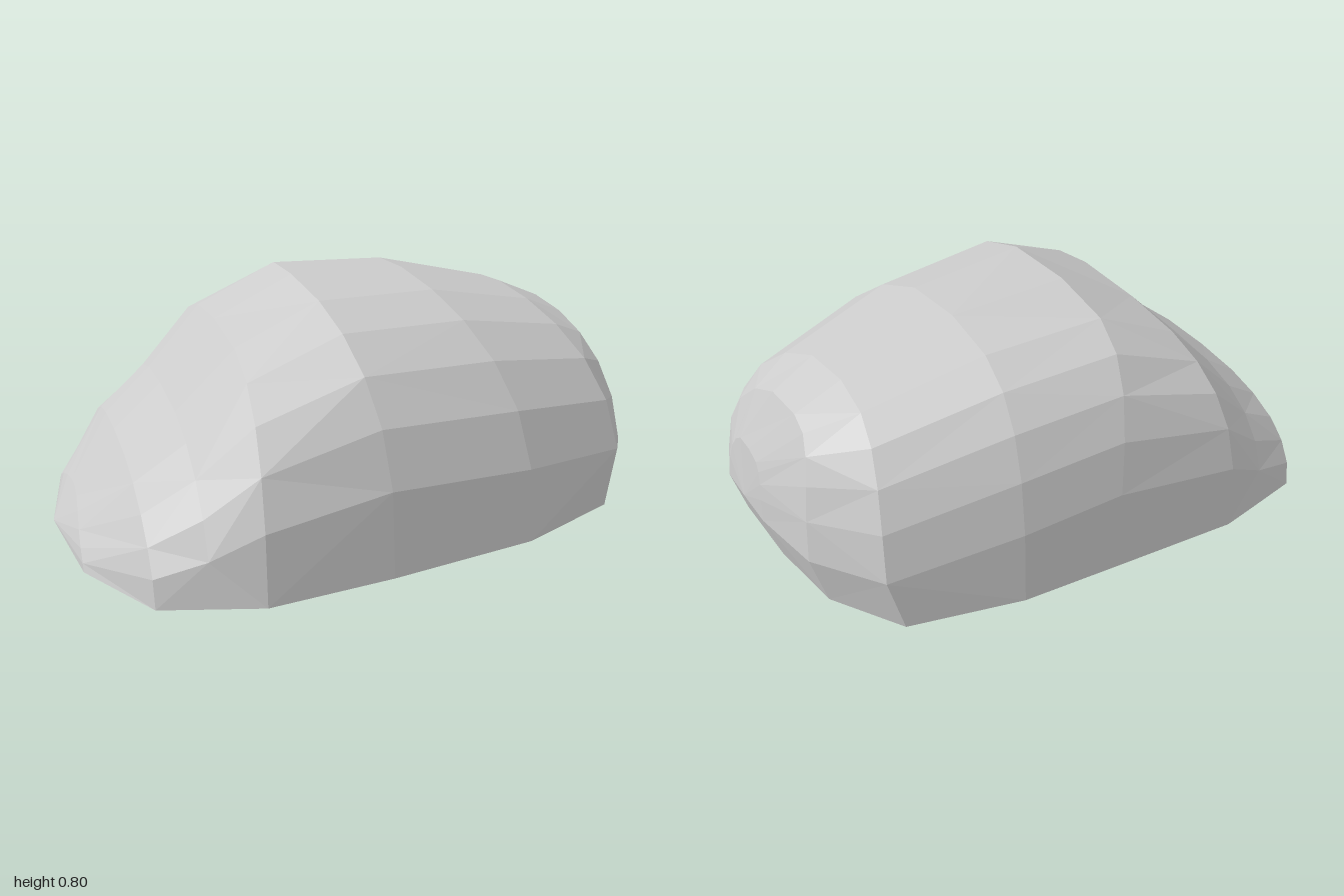
import * as THREE from 'three';

// Arched sections from the low left tip to the blunt right end:
// front foot x, z; back foot x, z; crest x, y, z; squareness of front and back
const SECTIONS = [
  [-0.95, 0.3, -0.94, -0.4, -0.92, 0.13, -0.08, 1.6, 1.7],
  [-0.78, 0.6, -0.77, -0.64, -0.77, 0.31, -0.1, 2.2, 2.5],
  [-0.62, 0.65, -0.6, -0.675, -0.6, 0.45, -0.12, 2.4, 2.8],
  [-0.46, 0.7, -0.45, -0.705, -0.4, 0.66, -0.13, 2.6, 3],
  [-0.04, 0.67, 0, -0.68, -0.13, 0.8, -0.1, 2.7, 3.1],
  [0.47, 0.61, 0.34, -0.66, 0.28, 0.79, -0.1, 2.5, 2.9],
  [0.88, 0.47, 0.77, -0.57, 0.68, 0.7, -0.12, 2.4, 2.6],
  [0.95, 0.36, 0.93, -0.34, 0.84, 0.63, -0.12, 2.5, 2.7],
  [1, 0.21, 0.98, -0.07, 0.95, 0.41, 0.06, 4, 4],
];
const LEFT_TIP = [-1, 0.01, -0.08];
const RIGHT_BULGE = [0.99, 0.22, 0.07];
const STEPS = 12;

// Point j of an arch, running from the front foot over the crest to the back foot
function archPoint([xFront, zFront, xBack, zBack, xTop, yTop, zTop, pFront, pBack], j) {
  const angle = (Math.PI * j) / STEPS;
  const isFront = j < STEPS / 2;
  const isFoot = j === 0 || j === STEPS;
  const exponent = 2 / (isFront ? pFront : pBack);
  const rise = Math.abs(Math.sin(angle)) ** exponent;
  const reach = Math.abs(Math.cos(angle)) ** exponent;
  const z = zTop + ((isFront ? zFront : zBack) - zTop) * reach;
  let x = THREE.MathUtils.lerp(isFront ? xFront : xBack, xTop, rise ** 3);
  // The right end tucks in at the ground, and the base tips up to the back right
  if (isFoot && x > 0.75) x -= 0.05;
  const y = isFoot ? Math.max(0, 0.02 + 0.02 * x - 0.02 * z) : yTop * rise;
  return [x, y, z];
}

function boulderGeometry() {
  const n = STEPS + 1;
  const last = (SECTIONS.length - 1) * n;
  const positions = [];
  const index = [];
  SECTIONS.forEach((section) => {
    for (let j = 0; j < n; j++) positions.push(...archPoint(section, j));
  });
  const leftTip = positions.length / 3;
  const rightBulge = leftTip + 1;
  positions.push(...LEFT_TIP, ...RIGHT_BULGE);

  for (let j = 0; j < n; j++) {
    const next = (j + 1) % n; // the last strip closes the underside
    for (let i = 0; i < SECTIONS.length - 1; i++) {
      const a = i * n + j;
      const c = i * n + next;
      const b = a + n;
      const d = c + n;
      // Alternating diagonals give the chiselled look
      if ((i + j) % 2) index.push(a, b, d, a, d, c);
      else index.push(a, b, c, b, d, c);
    }
    // End fans
    index.push(leftTip, j, next);
    index.push(rightBulge, last + next, last + j);
  }

  const geometry = new THREE.BufferGeometry();
  geometry.setAttribute('position', new THREE.Float32BufferAttribute(positions, 3));
  geometry.setIndex(index);
  const faceted = geometry.toNonIndexed();
  faceted.computeVertexNormals();
  return faceted;
}

export function createModel() {
  const group = new THREE.Group();
  group.name = 'rock';
  const material = new THREE.MeshStandardMaterial({ color: 0xcccccc, flatShading: true });
  const boulder = new THREE.Mesh(boulderGeometry(), material);
  boulder.name = 'boulder';
  group.add(boulder);
  return group;
}
